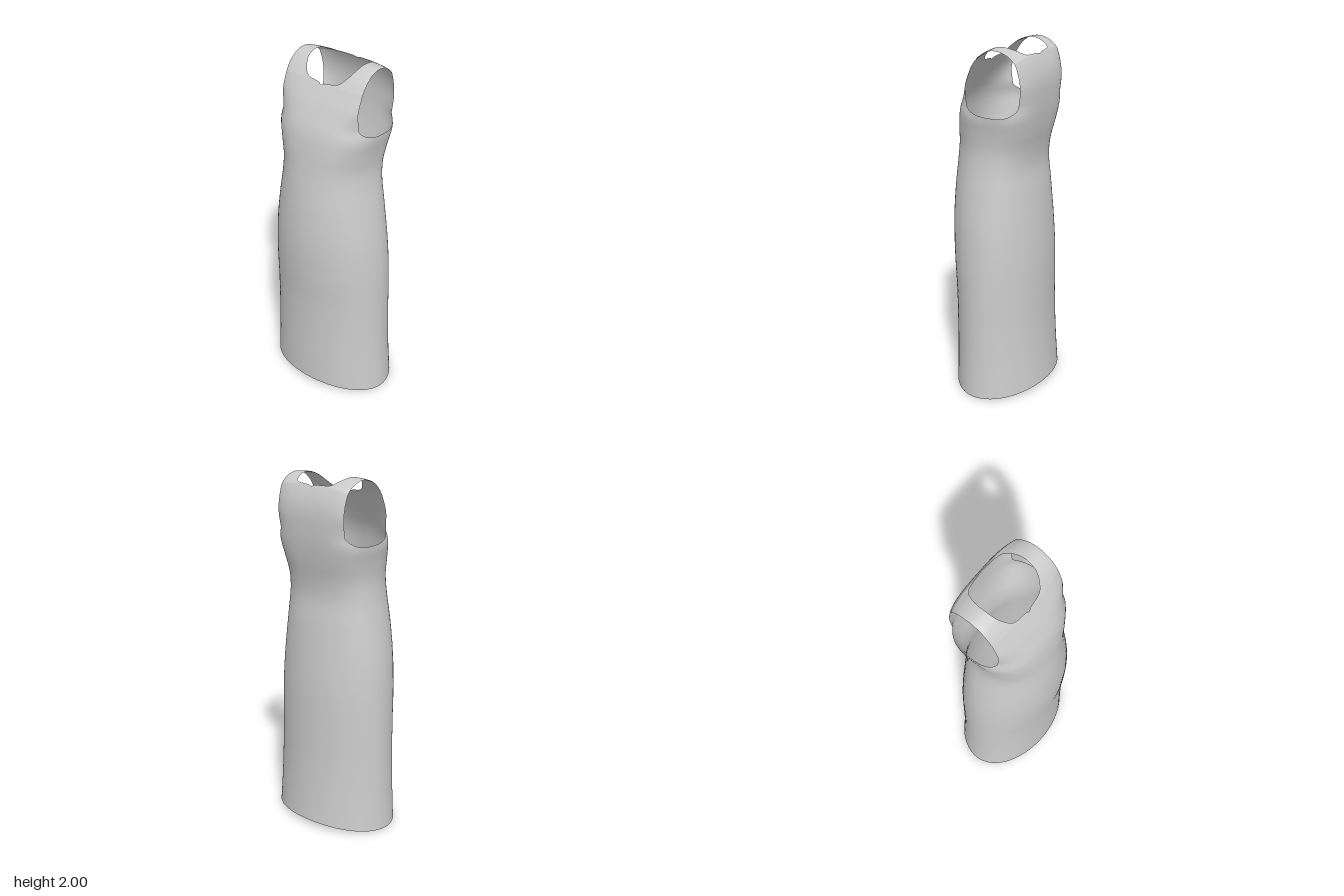
import * as THREE from 'three';
import { mergeVertices } from 'three/addons/utils/BufferGeometryUtils.js';

// Smooth interpolation through rows of [key, value, value, ...]
function spline(rows) {
  const size = rows[0].length - 1;
  const curve = new THREE.CubicInterpolant(rows.map(r => r[0]), rows.flatMap(r => r.slice(1)), size, new Float32Array(size));
  return t => Array.from(curve.evaluate(t));
}

// Body sections: height, half width, front z, back z, front squareness, back squareness
const section = spline([
  [0, 0.385, 0.26, -0.285, 2, 2],
  [0.2, 0.373, 0.26, -0.27, 2, 2],
  [0.4, 0.366, 0.26, -0.26, 2, 2],
  [0.6, 0.362, 0.265, -0.257, 2, 2],
  [0.8, 0.356, 0.28, -0.254, 2, 2],
  [1.0, 0.341, 0.288, -0.242, 2, 2],
  [1.2, 0.311, 0.28, -0.222, 2.05, 2.1],
  [1.35, 0.285, 0.265, -0.203, 2.1, 2.3],
  [1.45, 0.276, 0.252, -0.21, 2.2, 2.5],
  [1.55, 0.285, 0.24, -0.228, 2.4, 2.9],
  [1.65, 0.299, 0.222, -0.24, 2.5, 3.3],
  [1.7, 0.286, 0.205, -0.243, 2.6, 3.4],
]);
const TOP = 1.7, N_FRONT = 2.6, N_BACK = 3.4;
const K_FRONT = 0.91, K_BACK = 0.845; // armhole corners as a fraction of the half width

function bodyPoint(y, theta) {
  const [w, zf, zb, nf, nb] = section(y);
  const mid = -0.02 * THREE.MathUtils.smoothstep(y, 1.0, 1.7);
  const s = Math.max(0, Math.sin(theta)), c = Math.cos(theta), n = c > 0 ? nf : nb;
  const z = Math.pow(Math.abs(c), 2 / n) * ((c > 0 ? zf : zb) - mid);
  return [theta > 3.1415 ? 0 : w * Math.pow(s, 2 / n), y, mid + z];
}

// Column angles from centre front, round the left side, to centre back
const PANEL = 20, SIDE = 18;
const frontAngle = f => Math.asin(Math.pow(K_FRONT * f, N_FRONT / 2));
const backAngle = f => Math.PI - Math.asin(Math.pow(K_BACK * f, N_BACK / 2));
const columns = [];
for (let i = 0; i < PANEL; i++) columns.push([frontAngle(i / PANEL), TOP]);
for (let i = 0; i <= SIDE; i++) {
  const t = i / SIDE;
  columns.push([THREE.MathUtils.lerp(frontAngle(1), backAngle(1), t),
    TOP - 0.052 * Math.pow(Math.max(0, Math.sin(Math.PI * t)), 0.7)]);
}
for (let i = PANEL - 1; i >= 0; i--) columns.push([backAngle(i / PANEL), TOP]);

// Panel and strap, up the front and down the back:
// step, neck x, centre y, centre z, armhole x, armhole y, armhole z
const cornerF = bodyPoint(TOP, frontAngle(1)), cornerB = bodyPoint(TOP, backAngle(1));
const LAST = 13;
const strap = spline([
  [0, 0, TOP, 0.205, ...cornerF],
  [1, 0, 1.8, 0.155, 0.258, 1.8, 0.112],
  [2, 0, 1.89, 0.1, 0.258, 1.88, 0.085],
  [3, 0.095, 1.91, 0.085, 0.258, 1.905, 0.073],
  [4, 0.135, 1.945, 0.055, 0.258, 1.94, 0.048],
  [5, 0.158, 1.98, 0.015, 0.257, 1.973, 0.01],
  [6, 0.165, 2.0, -0.04, 0.256, 1.992, -0.04],
  [7, 0.163, 1.998, -0.09, 0.255, 1.99, -0.09],
  [8, 0.148, 1.983, -0.14, 0.252, 1.972, -0.135],
  [9, 0.115, 1.962, -0.18, 0.25, 1.945, -0.168],
  [10, 0, 1.95, -0.197, 0.248, 1.92, -0.183],
  [11, 0, 1.88, -0.228, 0.246, 1.86, -0.2],
  [12, 0, 1.8, -0.243, 0.245, 1.79, -0.207],
  [LAST, 0, TOP, -0.243, ...cornerB],
]);

function panelPoint(s, u) {
  const [neck, yc, zc, xb, yb, zb] = strap(s);
  const open = s > 2 && s < 10 ? Math.max(0, neck) : 0;
  const f = THREE.MathUtils.lerp(open / xb, 1, u);
  // Same curve across the panel as the body section it grows from
  const n = THREE.MathUtils.lerp(N_FRONT, N_BACK, s / LAST);
  const k = THREE.MathUtils.lerp(K_FRONT, K_BACK, s / LAST);
  const drop = a => 1 - Math.pow(1 - Math.pow(a, n), 1 / n);
  const g = drop(k * f) / drop(k);
  return [f * xb, THREE.MathUtils.lerp(yc, yb, g), THREE.MathUtils.lerp(zc, zb, g)];
}

// Adds a grid of points and its mirror image
function addGrid(positions, index, cols, rows, point) {
  for (const side of [1, -1]) {
    const base = positions.length / 3;
    for (let r = 0; r <= rows; r++) {
      for (let c = 0; c <= cols; c++) {
        const [x, y, z] = point(c, r);
        positions.push(side * x, y, z);
      }
    }
    for (let r = 0; r < rows; r++) {
      for (let c = 0; c < cols; c++) {
        const a = base + r * (cols + 1) + c, b = a + 1, d = a + cols + 1, e = d + 1;
        if (side > 0) index.push(a, b, e, a, e, d);
        else index.push(a, e, b, a, d, e);
      }
    }
  }
}

export function createModel() {
  const positions = [], index = [];

  // Skirt and bodice, from the curved hem to the underarms
  const bodyRows = 64;
  addGrid(positions, index, columns.length - 1, bodyRows, (c, r) => {
    const [theta, top] = columns[c];
    const hem = 0.03 * Math.cos(theta) ** 2;
    return bodyPoint(THREE.MathUtils.lerp(hem, top, r / bodyRows), theta);
  });

  // Chest, shoulder straps and upper back around the neckline
  const perStep = 4;
  addGrid(positions, index, PANEL, LAST * perStep, (c, r) => panelPoint(r / perStep, c / PANEL));

  let geometry = new THREE.BufferGeometry();
  geometry.setAttribute('position', new THREE.Float32BufferAttribute(positions, 3));
  geometry.setIndex(index);
  geometry = mergeVertices(geometry, 1e-4);
  geometry.computeVertexNormals();

  const dress = new THREE.Mesh(geometry, new THREE.MeshStandardMaterial({ color: 0xcccccc, side: THREE.DoubleSide }));
  dress.name = 'sleevelessDress';
  const group = new THREE.Group();
  group.name = 'dress';
  group.add(dress);
  return group;
}
